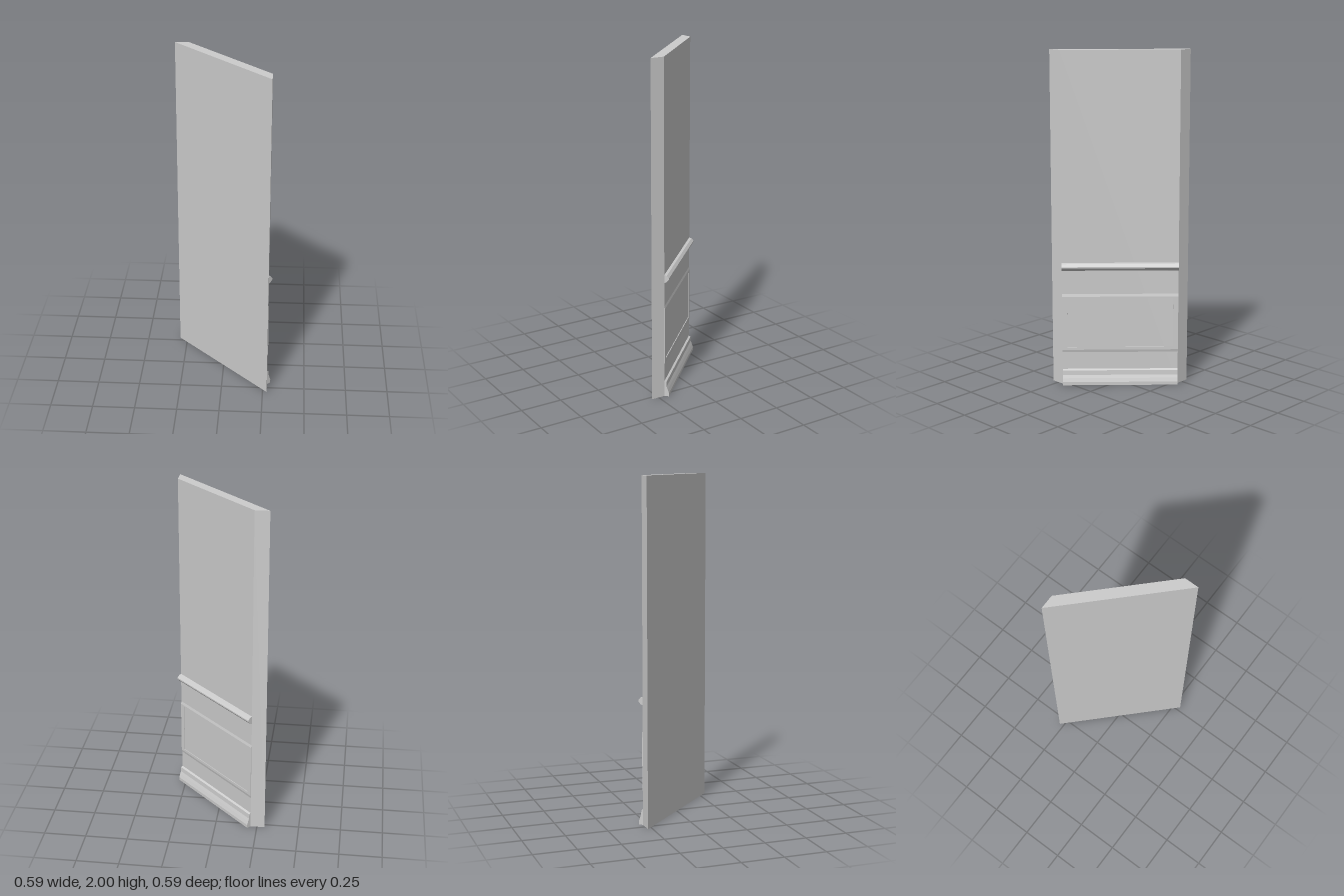
import * as THREE from 'three';

const HEIGHT = 2, BACK = 0.046, FRONT = -0.014, LENGTH = 0.69;

export function createModel() {
  const model = new THREE.Group();
  model.name = 'diagonalWallPanel';
  const material = new THREE.MeshStandardMaterial({ color: 0xcccccc, flatShading: true });

  // Local frame: x along the wall, y up, +z out of the panelled face
  const wall = new THREE.Group();
  wall.name = 'wallSection';
  wall.rotation.y = Math.PI * 3 / 4;
  wall.position.set(-0.001, 0, -0.001);
  model.add(wall);

  const add = (name, geometry) => {
    const mesh = new THREE.Mesh(geometry, material);
    mesh.name = name;
    wall.add(mesh);
    return mesh;
  };
  const shapeOf = (points) => new THREE.Shape(points.map(([x, y]) => new THREE.Vector2(x, y)));

  // Sweeps an (outward, height) profile along the wall
  const moulding = (name, profile) => {
    const geometry = new THREE.ExtrudeGeometry(shapeOf(profile), { depth: LENGTH, bevelEnabled: false });
    geometry.translate(0, 0, -LENGTH / 2).rotateY(-Math.PI / 2).translate(0, 0, BACK);
    return add(name, geometry);
  };

  // Wall slab with mitred ends
  const slab = new THREE.ExtrudeGeometry(
    shapeOf([[-0.404, -FRONT], [0.404, -FRONT], [0.345, -BACK], [-0.345, -BACK]]),
    { depth: HEIGHT, bevelEnabled: false });
  add('wallSlab', slab.rotateX(-Math.PI / 2));

  // Horizontal trim
  moulding('baseboard', [[0, 0], [0.027, 0], [0.027, 0.02], [0.02, 0.042], [0.013, 0.06], [0.011, 0.088], [0, 0.095]]);
  moulding('chairRail', [[0, 0.705], [0.012, 0.709], [0.027, 0.726], [0.027, 0.734], [0.014, 0.749], [0, 0.753]]);

  // Raised frame around the recessed panel
  moulding('panelBottomRail', [[0, 0.2], [0.004, 0.216], [0.004, 0.232], [0, 0.232]]);
  moulding('panelTopRail', [[0, 0.535], [0.004, 0.535], [0.004, 0.546], [0, 0.562]]);
  for (const [name, side] of [['panelLeftStile', -1], ['panelRightStile', 1]]) {
    const stile = add(name, new THREE.BoxGeometry(0.03, 0.303, 0.004));
    stile.position.set(side * (LENGTH / 2 - 0.015), 0.3835, BACK + 0.002);
  }
  return model;
}
